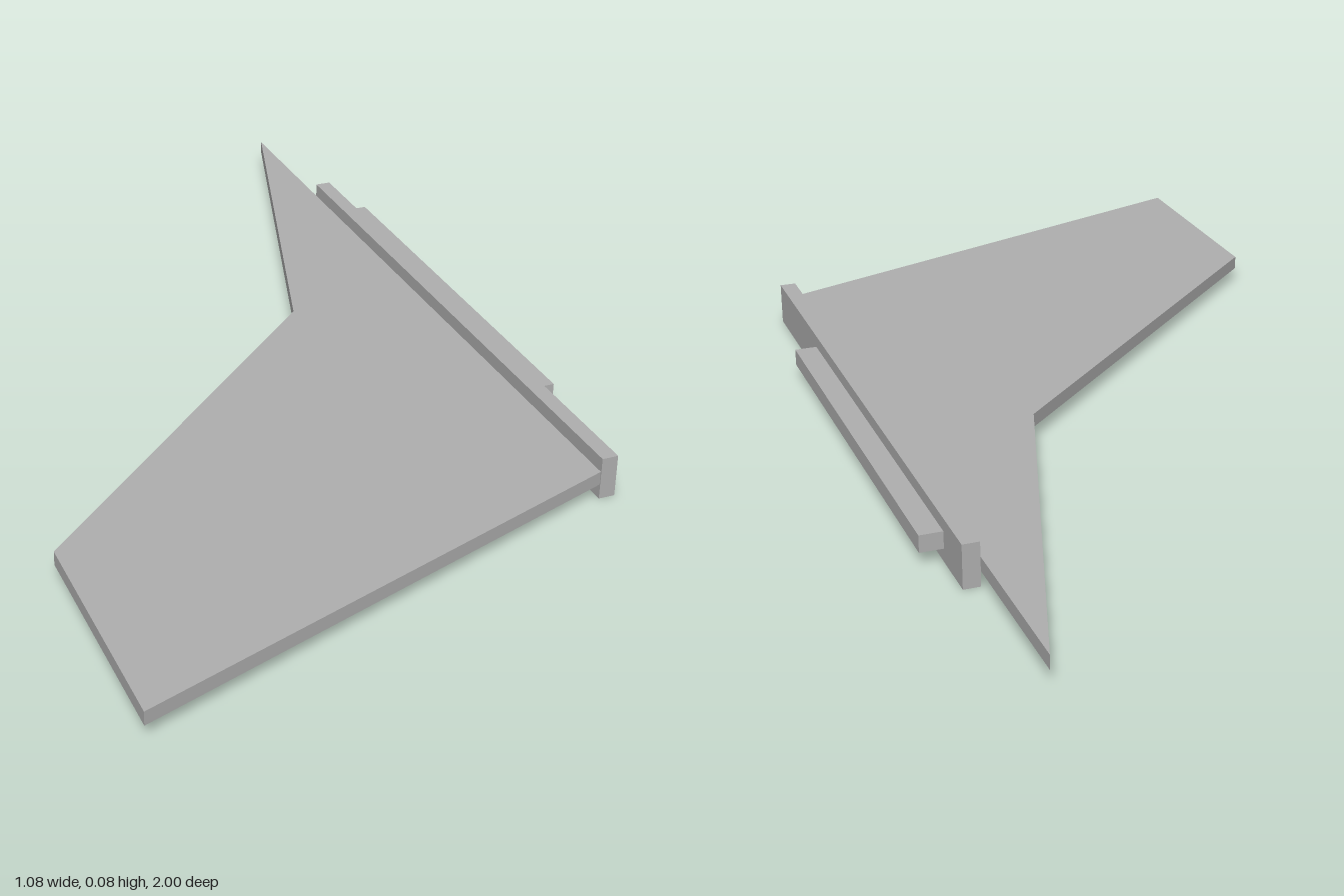
import * as THREE from 'three';

export function createModel() {
  const group = new THREE.Group();
  const grey = new THREE.MeshStandardMaterial({ color: 0xb0b0b0 });
  grey.name = 'grey';

  const add = (name, geometry) => {
    const mesh = new THREE.Mesh(geometry, grey);
    mesh.name = name;
    group.add(mesh);
  };

  // Box given by its extents on each axis
  const block = (name, [x0, x1], [y0, y1], [z0, z1]) => add(name,
    new THREE.BoxGeometry(x1 - x0, y1 - y0, z1 - z0)
      .translate((x0 + x1) / 2, (y0 + y1) / 2, (z0 + z1) / 2));

  // Flat swept wing, outlined as [x, z] and extruded upwards
  const outline = [[-0.538, 0.997], [0.461, 0.643], [0.461, -1], [0.187, -0.143], [-0.538, 0.53]];
  const shape = new THREE.Shape(outline.map(([x, z]) => new THREE.Vector2(x, -z)));
  add('wing', new THREE.ExtrudeGeometry(shape, { depth: 0.027, bevelEnabled: false })
    .rotateX(-Math.PI / 2).translate(0, 0.029, 0));

  // Upright plate along the wing root, and the mounting rail on its outer face
  block('rootPlate', [0.461, 0.493], [0, 0.084], [-0.66, 0.645]);
  block('mountingRail', [0.493, 0.537], [0.026, 0.059], [-0.556, 0.33]);

  return group;
}
